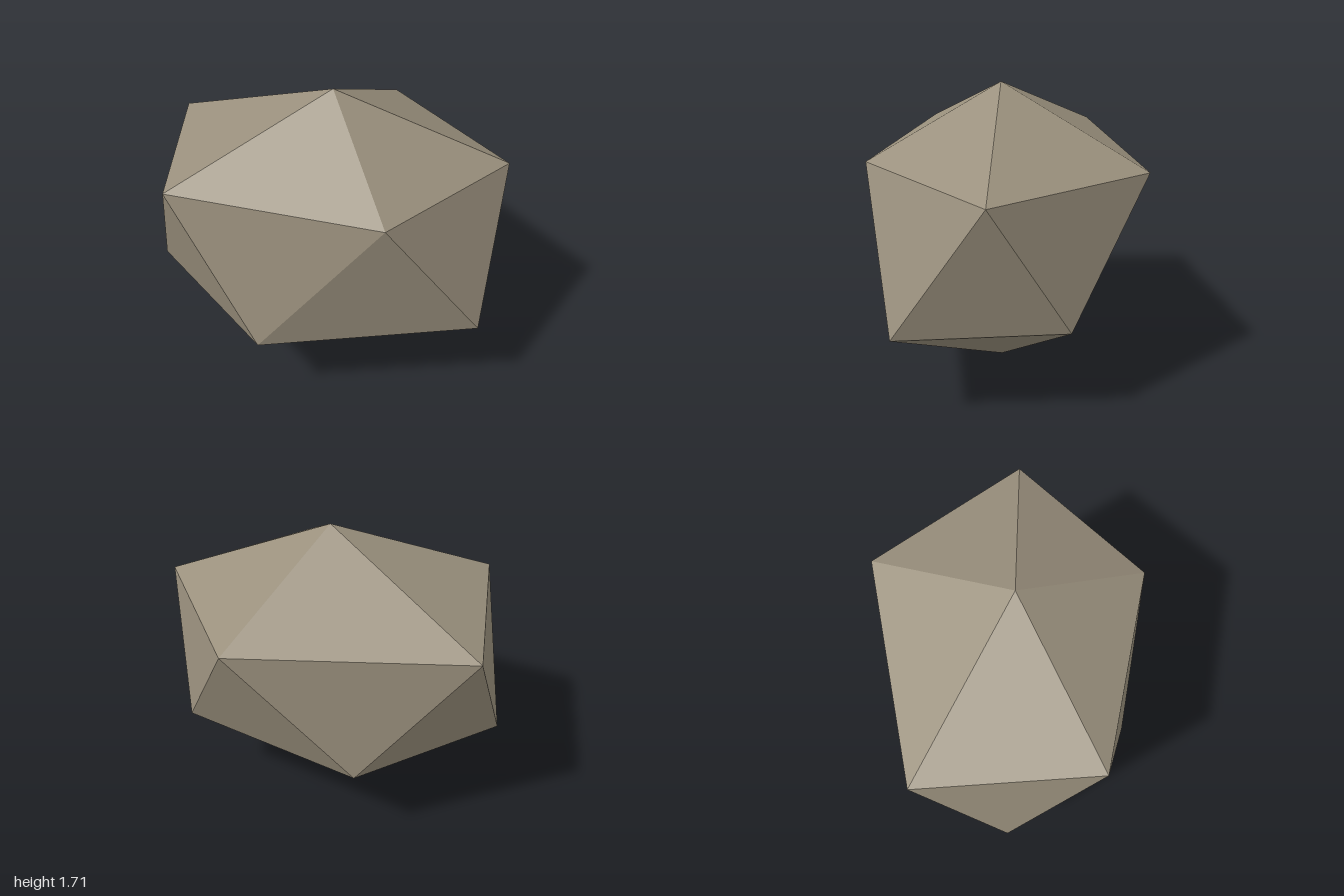
import * as THREE from 'three';

// Irregular low-poly boulder: an uneven icosahedron made of two poles and two staggered rings
export function createModel() {
  const top = [0.03, 1.71, 0.05];
  const bottom = [0.03, 0, 0.05];
  const upper = [
    [1, 1.3, 0.05], [0.34, 1.325, 0.76], [-0.8, 1.335, 0.55],
    [-0.9, 1.305, -0.46], [0.37, 1.3, -0.76],
  ];
  // each lower corner sits between two upper corners
  const lower = [
    [0.88, 0.535, 0.56], [-0.325, 0.48, 0.74], [-1, 0.54, 0.05],
    [-0.3, 0.535, -0.615], [0.78, 0.555, -0.365],
  ];

  const corners = [];
  for (let i = 0; i < 5; i++) {
    const j = (i + 1) % 5;
    corners.push(top, upper[j], upper[i]);        // cap
    corners.push(upper[i], upper[j], lower[i]);   // belt, pointing down
    corners.push(lower[i], upper[j], lower[j]);   // belt, pointing up
    corners.push(bottom, lower[i], lower[j]);     // underside
  }

  const geometry = new THREE.BufferGeometry();
  geometry.setAttribute('position', new THREE.Float32BufferAttribute(corners.flat(), 3));
  geometry.computeVertexNormals();

  const stone = new THREE.MeshStandardMaterial({ color: 0x9a907d, flatShading: true });
  stone.name = 'stone';

  const boulder = new THREE.Mesh(geometry, stone);
  boulder.name = 'boulder';

  const group = new THREE.Group();
  group.name = 'rock';
  group.add(boulder);
  return group;
}
